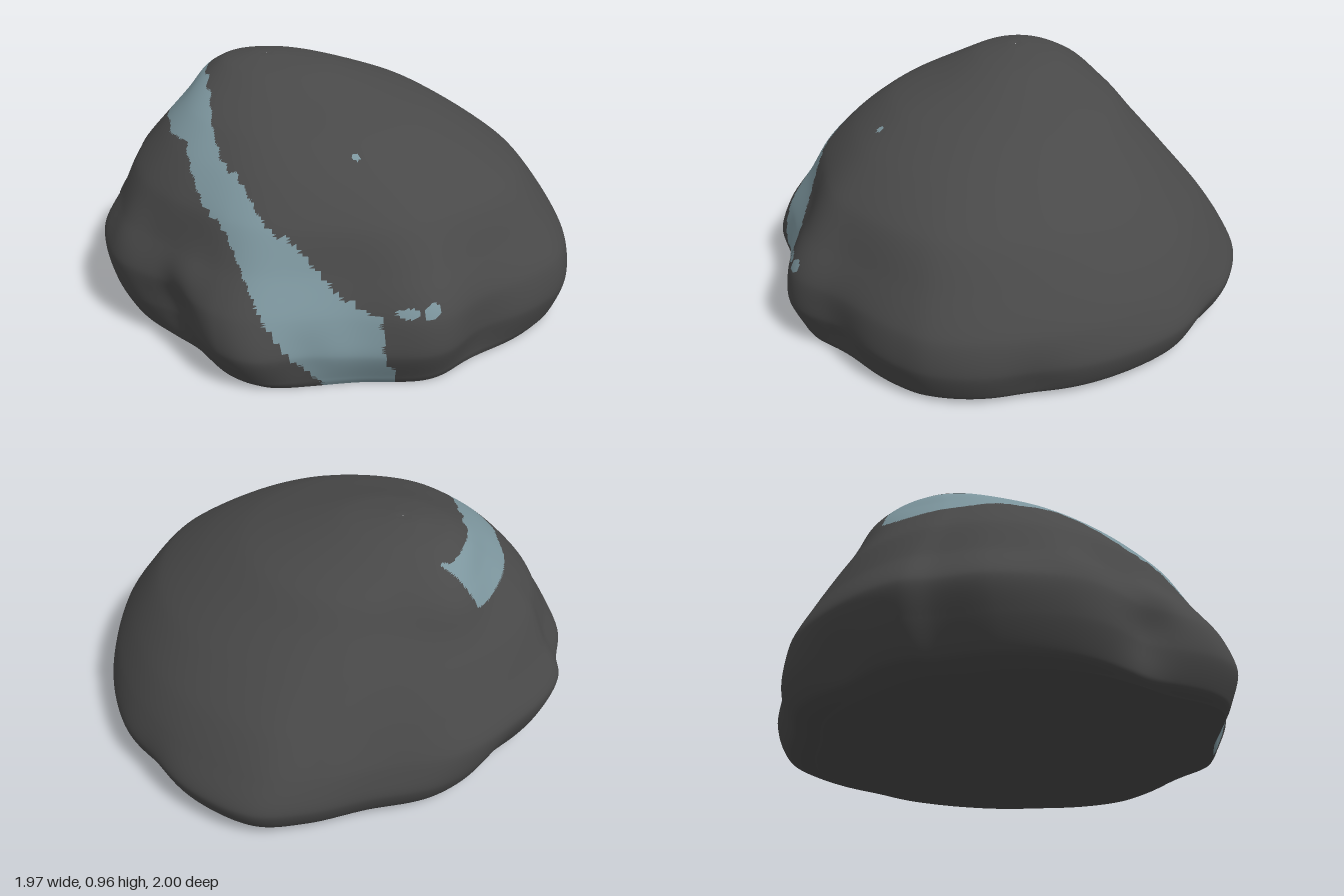
import * as THREE from 'three';

const AROUND = 380, UP = 180;

// Footprint, clockwise from the back seen from above (x, z)
const OUTLINE = [
  [-0.05, -1], [0.33, -0.92], [0.6, -0.76], [0.85, -0.45], [0.99, -0.05], [0.99, 0.2],
  [0.92, 0.35], [0.7, 0.64], [0.55, 0.79], [0.25, 0.88], [-0.1, 1], [-0.24, 0.97],
  [-0.43, 0.83], [-0.6, 0.74], [-0.8, 0.58], [-0.93, 0.35], [-0.96, 0.14], [-0.99, 0.02],
  [-0.92, -0.25], [-0.71, -0.6], [-0.46, -0.77], [-0.25, -0.92],
];

// Cross-sections: y, xMin, xMax, zMin, zMax
const RINGS = [
  [0, -0.8, 0.91, -0.82, 0.93],
  [0.035, -0.89, 0.95, -0.94, 0.96],
  [0.15, -0.955, 0.99, -0.995, 1],
  [0.28, -0.99, 0.97, -0.93, 0.955],
  [0.42, -0.91, 0.88, -0.83, 0.86],
  [0.57, -0.83, 0.76, -0.69, 0.77],
  [0.7, -0.72, 0.57, -0.56, 0.64],
  [0.8, -0.63, 0.37, -0.46, 0.49],
  [0.875, -0.57, 0.15, -0.33, 0.29],
  [0.93, -0.49, -0.05, -0.21, 0.14],
  [0.955, -0.38, -0.24, -0.09, 0.01],
  [0.957, -0.306, -0.304, -0.036, -0.034],
];

// Local hollows and bumps: x, y, z, radius, depth (negative swells)
const DENTS = [
  [-0.5, 0.17, 0.78, 0.13, 0.05],
  [-0.68, 0.36, 0.55, 0.13, -0.03],
  [-0.4, 0.36, 0.78, 0.1, -0.025],
  [0.08, 0.14, 0.93, 0.1, 0.025],
  [0.48, 0.33, 0.74, 0.2, -0.05],
  [0.72, 0.12, 0.62, 0.16, 0.04],
  [0.92, 0.1, -0.15, 0.12, 0.02],
  [-0.85, 0.08, -0.3, 0.14, 0.03],
  [0.45, 0.08, -0.82, 0.14, 0.03],
  [-0.55, 0.8, -0.24, 0.17, -0.06],
];

// Vein region on the front, in x and y
const VEIN = [
  [-0.54, 0.9], [-0.4, 0.8], [-0.3, 0.73], [-0.15, 0.63], [0, 0.53], [0.1, 0.45],
  [0.2, 0.37], [0.3, 0.3], [0.36, 0.3], [0.37, 0.14], [0.42, 0.06], [0.38, -0.1],
  [0.15, -0.1], [0.15, 0.03], [0.05, 0.15], [-0.05, 0.28], [-0.18, 0.45], [-0.25, 0.53],
  [-0.35, 0.6], [-0.5, 0.73], [-0.62, 0.735], [-0.74, 0.72], [-0.8, 0.9],
];
// Mineral specks: x, y, half width, half height
const SPECKS = [[0.45, 0.315, 0.045, 0.018], [0.53, 0.318, 0.028, 0.026]];

function inPolygon(x, y, poly) {
  let inside = false;
  poly.forEach(([ax, ay], i) => {
    const [bx, by] = poly[(i + 1) % poly.length];
    if ((ay > y) !== (by > y) && x < ((bx - ax) * (y - ay)) / (by - ay) + ax) inside = !inside;
  });
  return inside;
}

function isVein({ x, y, z }) {
  if (z < -0.22) return false;
  const wobble = 0.007 * Math.sin(x * 47 + y * 31) + 0.004 * Math.sin(x * 90 - y * 70);
  if (inPolygon(x + wobble, y + wobble, VEIN)) return true;
  if (Math.hypot(x - 0.185, z - 0.485) < 0.015 && y > 0.4) return true;
  return z > 0 && SPECKS.some(([sx, sy, w, h]) => ((x - sx) / w) ** 2 + ((y - sy) / h) ** 2 < 1);
}

// Grid of surface points, from the base ring to the summit
function surfacePoints() {
  const spline = (pts) => new THREE.CatmullRomCurve3(pts, false, 'catmullrom', 0.4);
  const outline = new THREE.CatmullRomCurve3(OUTLINE.map(([x, z]) => new THREE.Vector3(x, 0, z)), true);
  const centres = spline(RINGS.map(([y, a, b, c, d]) => new THREE.Vector3((a + b) / 2, y, (c + d) / 2)));
  const sizes = spline(RINGS.map(([, a, b, c, d]) => new THREE.Vector3((b - a) / 2, 0, (d - c) / 2)));
  const points = [];
  for (let j = 0; j <= UP; j++) {
    const centre = centres.getPoint(j / UP), size = sizes.getPoint(j / UP);
    // The outline grows rounder towards the summit
    const round = 0.85 * THREE.MathUtils.smoothstep(centre.y, 0.2, 0.75);
    for (let i = 0; i < AROUND; i++) {
      const p = outline.getPoint(i / AROUND);
      p.lerp(p.clone().normalize(), round).multiply(size).add(centre);
      p.y = Math.max(0, p.y);
      const inward = new THREE.Vector3(centre.x - p.x, 0, centre.z - p.z).normalize();
      let push = 0;
      for (const [x, y, z, r, depth] of DENTS) {
        const d2 = (p.x - x) ** 2 + (p.y - y) ** 2 + (p.z - z) ** 2;
        push += depth * Math.exp(-d2 / (r * r));
      }
      points.push(p.addScaledVector(inward, push));
    }
  }
  return points;
}

export function createModel() {
  const stone = new THREE.MeshStandardMaterial({ color: 0x494949 });
  stone.name = 'dark stone';
  const mineral = new THREE.MeshStandardMaterial({ color: 0x7c959d });
  mineral.name = 'blue grey mineral';

  const group = new THREE.Group();
  group.name = 'boulder';
  const points = surfacePoints();

  // Boulder surface, with the vein as a second group of faces
  const faces = [[], []];
  const addFace = (a, b, c) => {
    const mid = points[a].clone().add(points[b]).add(points[c]).divideScalar(3);
    faces[isVein(mid) ? 1 : 0].push(a, b, c);
  };
  for (let j = 0; j < UP; j++) {
    for (let i = 0; i < AROUND; i++) {
      const a = j * AROUND + i, b = j * AROUND + ((i + 1) % AROUND);
      addFace(a, a + AROUND, b);
      addFace(b, a + AROUND, b + AROUND);
    }
  }
  const shell = new THREE.BufferGeometry().setFromPoints(points);
  shell.setIndex([...faces[0], ...faces[1]]);
  shell.addGroup(0, faces[0].length, 0);
  shell.addGroup(faces[0].length, faces[1].length, 1);
  shell.computeVertexNormals();
  const rock = new THREE.Mesh(shell, [stone, mineral]);
  rock.name = 'rockWithVein';
  group.add(rock);

  // Flat underside
  const rim = points.slice(0, AROUND);
  const base = new THREE.BufferGeometry().setFromPoints([new THREE.Vector3(), ...rim]);
  base.setIndex(rim.flatMap((_, i) => [0, i + 1, ((i + 1) % AROUND) + 1]));
  base.computeVertexNormals();
  const underside = new THREE.Mesh(base, stone);
  underside.name = 'underside';
  group.add(underside);

  return group;
}
